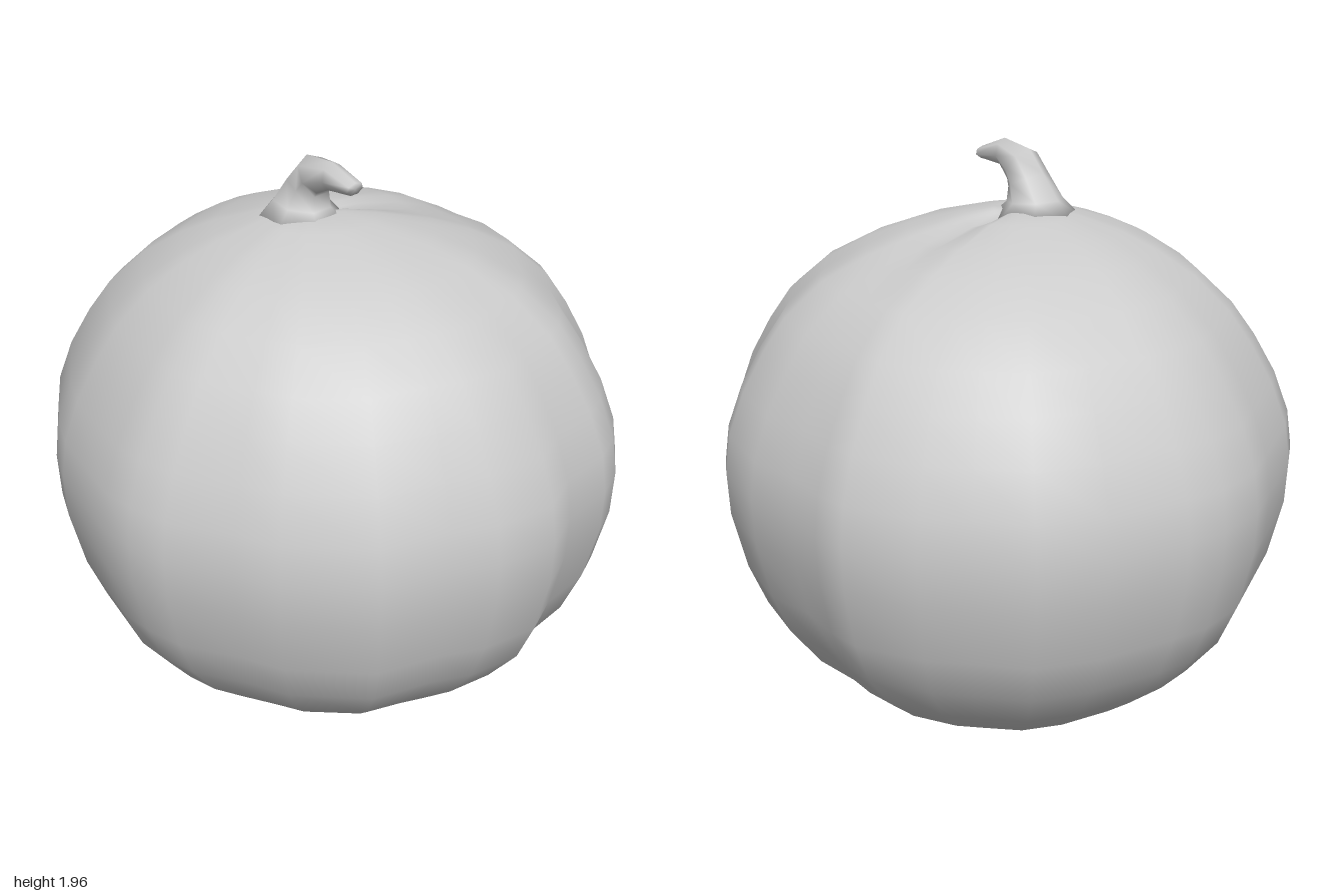
import * as THREE from 'three';

// Closed skin over equal-length rings, ordered bottom to top, with fan caps.
function loft(rings, start, end, name) {
  const n = rings[0].length;
  const points = [...rings.flat(), start, end];
  const index = [];
  const first = points.length - 2, last = points.length - 1;
  for (let j = 0; j < n; j++) {
    const k = (j + 1) % n;
    index.push(first, j, k);
    for (let i = 0; i < rings.length - 1; i++) {
      const a = i * n + j, b = i * n + k;
      index.push(a, a + n, b + n, a, b + n, b);
    }
    const top = (rings.length - 1) * n;
    index.push(top + j, last, top + k);
  }
  const geometry = new THREE.BufferGeometry().setFromPoints(points);
  geometry.setIndex(index);
  geometry.computeVertexNormals();
  const mesh = new THREE.Mesh(geometry, new THREE.MeshStandardMaterial({ color: 0xcccccc }));
  mesh.name = name;
  return mesh;
}

const V = (x, y, z) => new THREE.Vector3(x, y, z);

// Uneven lobed outline at the widest level (x, z)
const OUTLINE = [
  [0.97, -0.22], [0.965, -0.1], [0.93, 0.05], [0.93, 0.24], [0.84, 0.48], [0.78, 0.56],
  [0.65, 0.66], [0.52, 0.82], [0.4, 0.9], [0.28, 0.94], [0.08, 0.945], [-0.07, 0.995],
  [-0.27, 0.94], [-0.4, 0.86], [-0.61, 0.77], [-0.8, 0.54], [-0.85, 0.4], [-0.95, 0.2],
  [-0.97, 0.06], [-0.97, -0.06], [-0.87, -0.4], [-0.8, -0.53], [-0.6, -0.79], [-0.47, -0.86],
  [-0.2, -0.95], [-0.05, -1], [0.13, -1], [0.26, -0.96], [0.52, -0.86], [0.7, -0.74],
  [0.8, -0.58], [0.89, -0.45],
];

// Height and relative radius
const PROFILE = [
  [0.0, 0.14], [0.05, 0.38], [0.17, 0.64], [0.3, 0.78], [0.45, 0.89], [0.6, 0.95],
  [0.8, 0.995], [0.95, 1], [1.08, 0.98], [1.22, 0.925], [1.35, 0.85], [1.46, 0.77],
  [1.57, 0.645], [1.65, 0.5], [1.7, 0.37], [1.745, 0.2], [1.76, 0.1],
];

function createBody() {
  const rings = PROFILE.map(([y, r]) => {
    const drift = Math.max(0, (y - 1.5) / 0.26); // crown leans toward the stalk
    return OUTLINE.map(([x, z]) => {
      const round = 0.965 / Math.hypot(x, z);
      const s = r * THREE.MathUtils.lerp(round, 1, Math.min(1, r * 1.1));
      // shallow furrow beside the stalk
      const furrow = y > 1.6 ? 0.035 * Math.exp(-(((Math.atan2(z, x) - 0.25) / 0.3) ** 2)) * (1 - r) : 0;
      return V(x * s - 0.07 * drift * (1 - r), y - furrow, z * s - 0.03 * drift * (1 - r));
    });
  });
  return loft(rings, V(0, 0, 0), V(-0.08, 1.75, -0.03), 'body');
}

function createStalk() {
  // x, y, z, half width, half depth, forward tilt
  const stations = [
    [-0.1, 1.72, -0.05, 0.16, 0.16, 0],
    [-0.085, 1.785, -0.06, 0.09, 0.1, 0.1],
    [-0.08, 1.85, -0.035, 0.075, 0.07, 0.4],
    [-0.095, 1.895, 0.01, 0.07, 0.065, 0.95],
    [-0.125, 1.92, 0.11, 0.045, 0.045, 1.5],
    [-0.132, 1.905, 0.212, 0.037, 0.02, 1.7],
  ];
  const sides = 7;
  const rings = stations.map(([x, y, z, w, d, tilt]) =>
    Array.from({ length: sides }, (_, j) => {
      const a = ((j + 0.25) / sides) * Math.PI * 2;
      const v = d * Math.sin(a);
      return V(x + w * Math.cos(a), y - v * Math.sin(tilt), z + v * Math.cos(tilt));
    }));
  return loft(rings, V(-0.1, 1.7, -0.05), V(-0.132, 1.905, 0.214), 'stalk');
}

export function createModel() {
  const model = new THREE.Group();
  model.name = 'gourd';
  model.add(createBody(), createStalk());
  return model;
}
